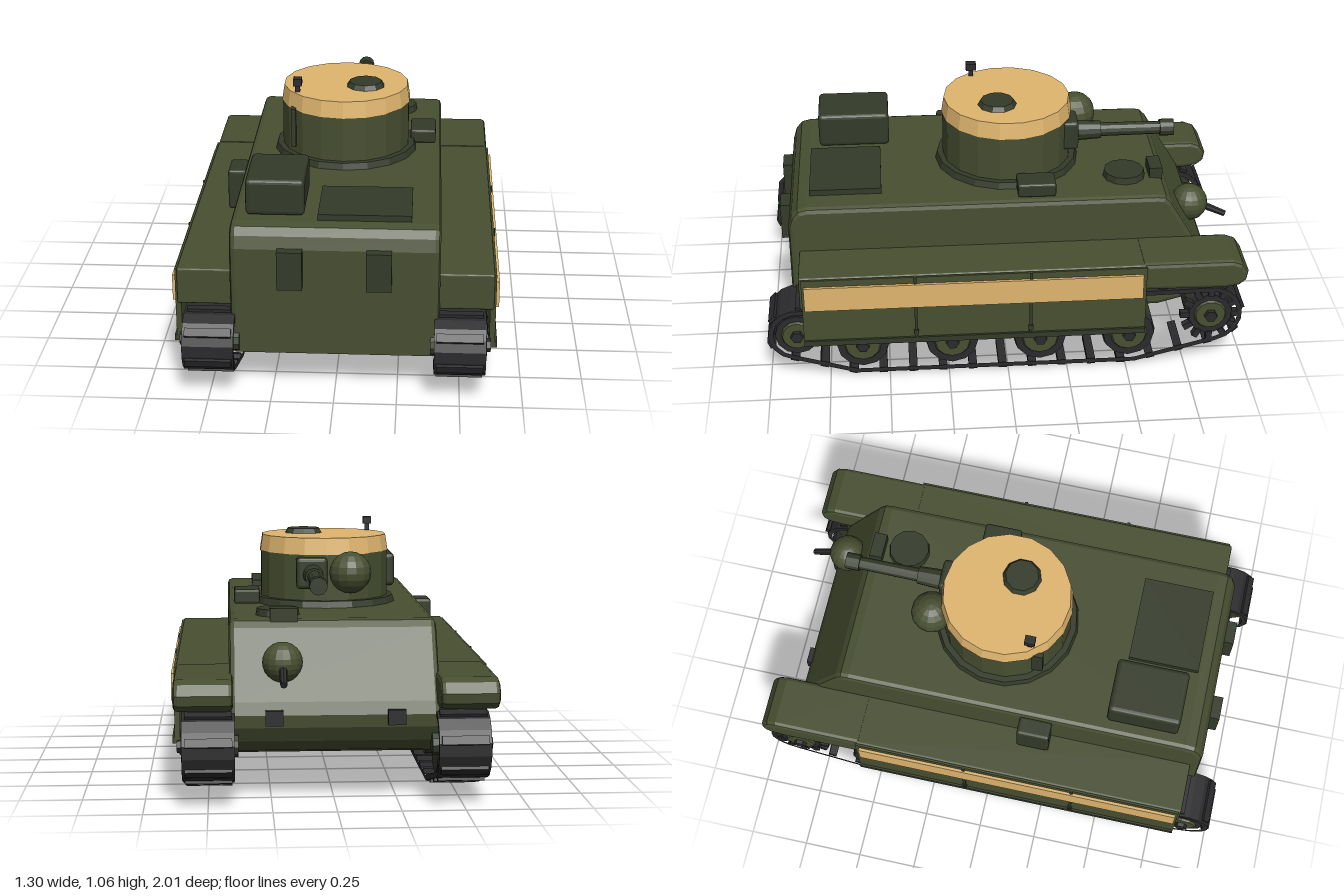
import * as THREE from 'three';
import { RoundedBoxGeometry } from 'three/addons/geometries/RoundedBoxGeometry.js';

const mat = (color) => new THREE.MeshStandardMaterial({ color, flatShading: true });
const green = mat(0x474f31), dark = mat(0x343b29), black = mat(0x2b2b2d), tan = mat(0xe0b66f);

export function createModel() {
  const model = new THREE.Group();
  const add = (name, geo, material, parent = model) => {
    const m = new THREE.Mesh(geo, material);
    m.name = name;
    parent.add(m);
    return m;
  };
  // Box given by its limits, optionally rounded
  const box = (name, material, [x0, x1], [y0, y1], [z0, z1], parent = model, r = 0) => {
    const s = [x1 - x0, y1 - y0, z1 - z0];
    const m = add(name, r ? new RoundedBoxGeometry(...s, 2, r) : new THREE.BoxGeometry(...s), material, parent);
    m.position.set((x0 + x1) / 2, (y0 + y1) / 2, (z0 + z1) / 2);
    return m;
  };
  // Side profile of [z, y] points extruded from x0 to x1
  const slab = (name, material, pts, x0, x1, bevel = 0, parent = model, hole = null) => {
    const toV = ([z, y]) => new THREE.Vector2(-z, y);
    const shape = new THREE.Shape(pts.map(toV));
    if (hole) shape.holes.push(new THREE.Path(hole.map(toV)));
    const geo = new THREE.ExtrudeGeometry(shape, {
      depth: x1 - x0 - 2 * bevel, bevelEnabled: bevel > 0, bevelSize: bevel,
      bevelThickness: bevel, bevelOffset: -bevel, bevelSegments: 2,
    });
    return add(name, geo.rotateY(Math.PI / 2).translate(x0 + bevel, 0, 0), material, parent);
  };
  // Cylinders along y, x and z
  const cyl = (name, material, r0, r1, h, n, pos, axis = 'y', parent = model) => {
    const geo = new THREE.CylinderGeometry(r0, r1, h, n);
    if (axis === 'x') geo.rotateZ(-Math.PI / 2);
    if (axis === 'z') geo.rotateX(-Math.PI / 2);
    const m = add(name, geo, material, parent);
    m.position.set(...pos);
    return m;
  };

  // Hull
  slab('hull', green, [[0.9, 0.18], [0.9, 0.63], [0.885, 0.68], [0.86, 0.71], [0.82, 0.72], [-0.64, 0.72],
    [-0.675, 0.715], [-0.7, 0.69], [-0.86, 0.42], [-0.88, 0.37], [-0.875, 0.32], [-0.84, 0.26], [-0.77, 0.21],
    [-0.66, 0.18]], -0.415, 0.415, 0.022);
  box('engineHatch', dark, [-0.07, 0.3], [0.71, 0.745], [0.51, 0.81]);
  box('stowageBox', dark, [-0.36, -0.125], [0.72, 0.87], [0.47, 0.775], model, 0.018);
  box('sideBox', dark, [-0.49, -0.41], [0.525, 0.7], [0.11, 0.25], model, 0.012);
  cyl('driverHatch', dark, 0.085, 0.09, 0.03, 12, [0.215, 0.733, -0.52]);
  box('driverPeriscope', dark, [0.14, 0.25], [0.71, 0.765], [-0.68, -0.625]);
  for (const s of [-1, 1]) {
    box('rearBox', dark, [s * 0.175 - 0.05, s * 0.175 + 0.05], [0.475, 0.635], [0.88, 0.94]);
    box('towHook', black, [s * 0.24 - 0.035, s * 0.24 + 0.035], [0.33, 0.39], [-0.895, -0.84]);
  }

  // Bow gun
  add('bowGunBall', new THREE.SphereGeometry(0.08, 16, 12), green).position.set(0.205, 0.57, -0.81);
  cyl('bowGunBarrel', black, 0.014, 0.018, 0.14, 8, [0.205, 0.535, -0.905], 'z').rotation.x = -0.45;

  // Turret
  const turret = new THREE.Group();
  turret.name = 'turret';
  turret.position.set(0, 0, -0.035);
  model.add(turret);
  cyl('turretRing', dark, 0.3, 0.31, 0.035, 18, [0, 0.73, 0], 'y', turret);
  cyl('turretBody', green, 0.275, 0.275, 0.21, 18, [0, 0.84, 0], 'y', turret);
  cyl('turretBand', tan, 0.268, 0.279, 0.07, 18, [0, 0.975, 0], 'y', turret);
  cyl('commanderHatch', dark, 0.07, 0.085, 0.025, 10, [0.085, 1.018, 0.045], 'y', turret);
  box('periscopeStem', black, [-0.21, -0.19], [1, 1.045], [0.13, 0.15], turret);
  box('periscopeHead', black, [-0.218, -0.182], [1.04, 1.07], [0.118, 0.162], turret);
  box('rearBracket', dark, [-0.225, -0.205], [0.78, 0.95], [0.15, 0.2], turret);
  box('turretSideBox', dark, [0.28, 0.39], [0.725, 0.785], [-0.18, -0.02], turret, 0.01);
  add('mantletBall', new THREE.SphereGeometry(0.088, 14, 10), green, turret).position.set(-0.095, 0.87, -0.305);
  box('mantlet', dark, [0, 0.13], [0.8, 0.93], [-0.3, -0.22], turret, 0.015);
  cyl('gunCollar', dark, 0.038, 0.045, 0.13, 12, [0.06, 0.86, -0.335], 'z', turret);
  cyl('gunBarrel', dark, 0.027, 0.03, 0.36, 12, [0.06, 0.86, -0.51], 'z', turret);
  cyl('muzzle', dark, 0.036, 0.036, 0.06, 12, [0.06, 0.86, -0.685], 'z', turret);

  // Track outline: convex hull around the end wheels and the outer road wheels
  const belt = (t) => {
    const pts = [];
    for (const [z, y, r] of [[0.88, 0.225, 0.108], [-0.853, 0.247, 0.122], [0.61, 0.165, 0.13], [-0.51, 0.165, 0.13]])
      for (let i = 0; i < 16; i++) {
        const a = ((i + 0.5) / 16) * Math.PI * 2;
        pts.push([z + Math.cos(a) * (r + t), y + Math.sin(a) * (r + t)]);
      }
    pts.sort((a, b) => a[0] - b[0] || a[1] - b[1]);
    const chain = (list) => {
      const h = [];
      for (const p of list) {
        while (h.length > 1) {
          const a = h[h.length - 2], b = h[h.length - 1];
          if ((b[0] - a[0]) * (p[1] - a[1]) - (b[1] - a[1]) * (p[0] - a[0]) > 0) break;
          h.pop();
        }
        h.push(p);
      }
      return h.slice(0, -1);
    };
    return [...chain(pts), ...chain([...pts].reverse())];
  };

  const buildSide = () => {
    const g = new THREE.Group();
    // Sponson, skirt and its stripe
    box('sponson', green, [0.4, 0.63], [0.37, 0.522], [-0.57, 0.86], g, 0.008);
    box('skirt', green, [0.615, 0.638], [0.2, 0.515], [-0.57, 0.85], g);
    box('skirtLip', dark, [0.612, 0.647], [0.2, 0.225], [-0.57, 0.85], g);
    box('stripe', tan, [0.63, 0.65], [0.375, 0.485], [-0.555, 0.84], g);
    for (const z of [0.385, -0.09]) {
      box('skirtRib', dark, [0.63, 0.644], [0.22, 0.515], [z - 0.006, z + 0.006], g);
      box('skirtBolt', dark, [0.63, 0.648], [0.24, 0.26], [z - 0.01, z + 0.01], g);
    }
    // Front fender
    slab('fender', green, [[-0.56, 0.4], [-0.56, 0.525], [-0.93, 0.525], [-0.97, 0.51], [-0.997, 0.47],
      [-0.99, 0.43], [-0.96, 0.405], [-0.9, 0.395]], 0.4, 0.632, 0.018, g);

    // Track belt with cleats
    slab('trackBelt', black, belt(0.013), 0.395, 0.6, 0, g, belt(-0.008));
    const loop = new THREE.CurvePath();
    const path = belt(0.013).map(([z, y]) => new THREE.Vector3(0, y, z));
    path.forEach((p, i) => loop.add(new THREE.LineCurve3(p, path[(i + 1) % path.length])));
    const count = 34;
    for (let i = 0; i < count; i++) {
      const u = (i + 0.5) / count;
      const p = loop.getPointAt(u), d = loop.getTangentAt(u);
      const cleat = add('trackCleat', new THREE.BoxGeometry(0.185, 0.024, 0.035), black, g);
      cleat.position.set(0.497, p.y, p.z);
      cleat.rotation.x = Math.atan2(-d.y, d.z);
    }

    // Wheels: dark tyre, green disc and hexagonal hub
    const wheel = (name, z, y, r, n) => {
      cyl(name + 'Tyre', black, r * 0.94, r, 0.03, n, [0.58, y, z], 'x', g);
      cyl(name + 'Drum', dark, r, r, 0.13, n, [0.5, y, z], 'x', g);
      cyl(name + 'Disc', green, r * 0.62, r * 0.7, 0.012, n, [0.598, y, z], 'x', g);
      cyl(name + 'Hub', black, 0.026, 0.03, 0.025, 6, [0.608, y, z], 'x', g);
    };
    for (const z of [0.61, 0.235, -0.135, -0.51]) wheel('roadWheel', z, 0.165, 0.115, 12);
    wheel('idler', 0.88, 0.225, 0.098, 12);
    wheel('sprocket', -0.853, 0.247, 0.1, 14);
    for (let i = 0; i < 12; i++) {
      const a = (i / 12) * Math.PI * 2;
      const tooth = add('sprocketTooth', new THREE.BoxGeometry(0.03, 0.04, 0.025), black, g);
      tooth.position.set(0.585, 0.247 + Math.cos(a) * 0.108, -0.853 + Math.sin(a) * 0.108);
      tooth.rotation.x = a;
    }
    for (const [z, y] of [[0.88, 0.225], [-0.853, 0.247]])
      cyl('axle', dark, 0.045, 0.045, 0.1, 10, [0.43, y, z], 'x', g);
    return g;
  };

  // Both running gear sides; the right one is turned about y with z reversed to mirror it
  const left = buildSide();
  left.name = 'leftSide';
  const right = buildSide();
  right.name = 'rightSide';
  right.scale.x = -1;
  model.add(left, right);
  return model;
}
